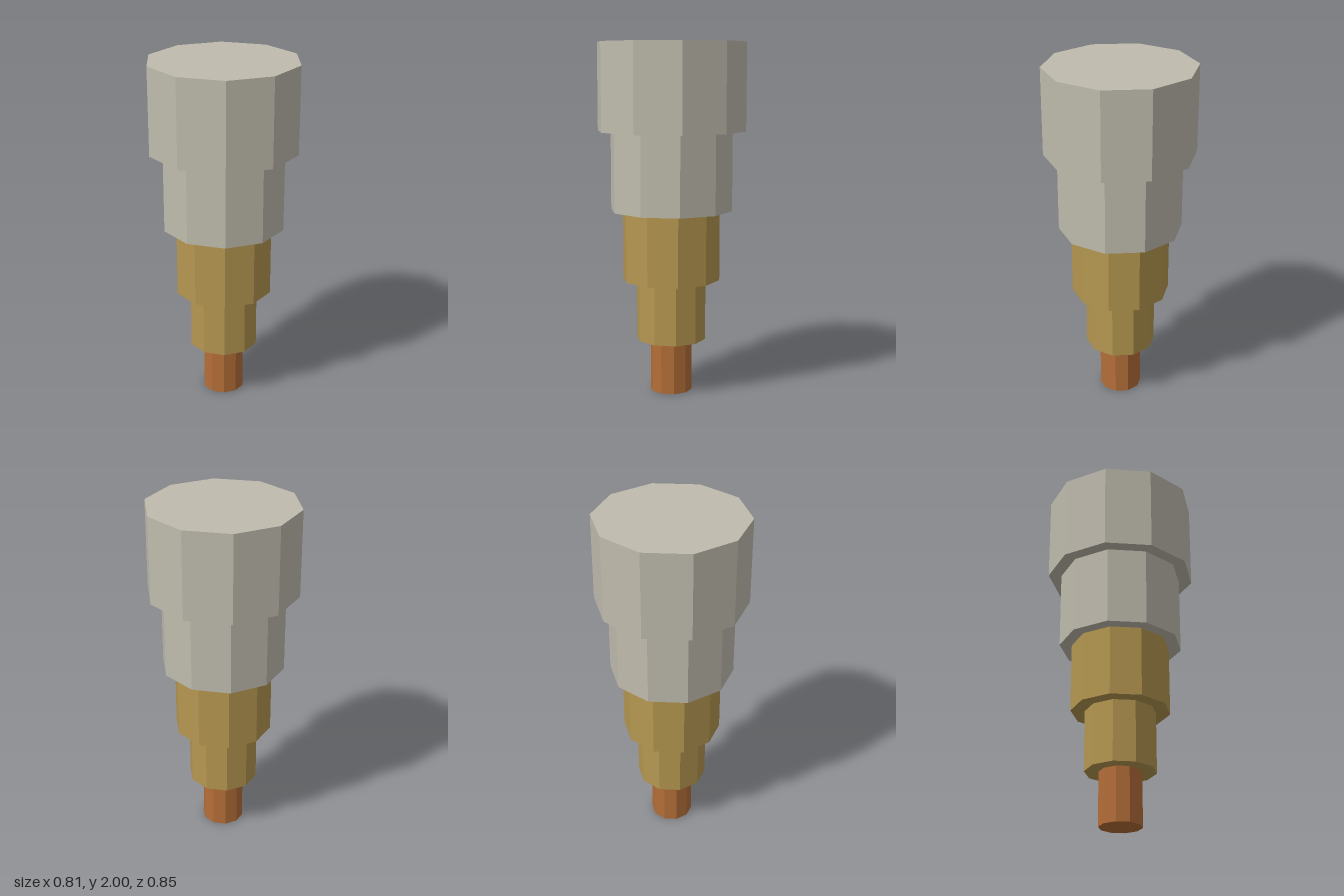
import * as THREE from 'three';

export function createModel() {
  const model = new THREE.Group();
  model.name = 'steppedColumn';

  const paint = (name, color) => {
    const m = new THREE.MeshStandardMaterial({ color });
    m.name = name;
    return m;
  };
  const stone = paint('warmGrey', 0xbfbbad);
  const brass = paint('brass', 0xb59750);
  const copper = paint('copper', 0xb46e38);

  // Ten-sided tiers from the bottom up: name, radius, bottom, top, material
  const tiers = [
    ['copperTip', 0.12, 0, 0.305, copper],
    ['lowerBrassTier', 0.2, 0.305, 0.655, brass],
    ['upperBrassTier', 0.28, 0.655, 1.055, brass],
    ['lowerGreyTier', 0.35, 1.055, 1.505, stone],
    ['topGreyTier', 0.425, 1.505, 2, stone],
  ];

  for (const [name, radius, bottom, top, material] of tiers) {
    // Non-indexed so that every facet gets its own flat normal
    const geometry = new THREE.CylinderGeometry(radius, radius, top - bottom, 10).toNonIndexed();
    geometry.computeVertexNormals();
    const tier = new THREE.Mesh(geometry, material);
    tier.name = name;
    tier.position.y = (bottom + top) / 2;
    model.add(tier);
  }
  return model;
}
